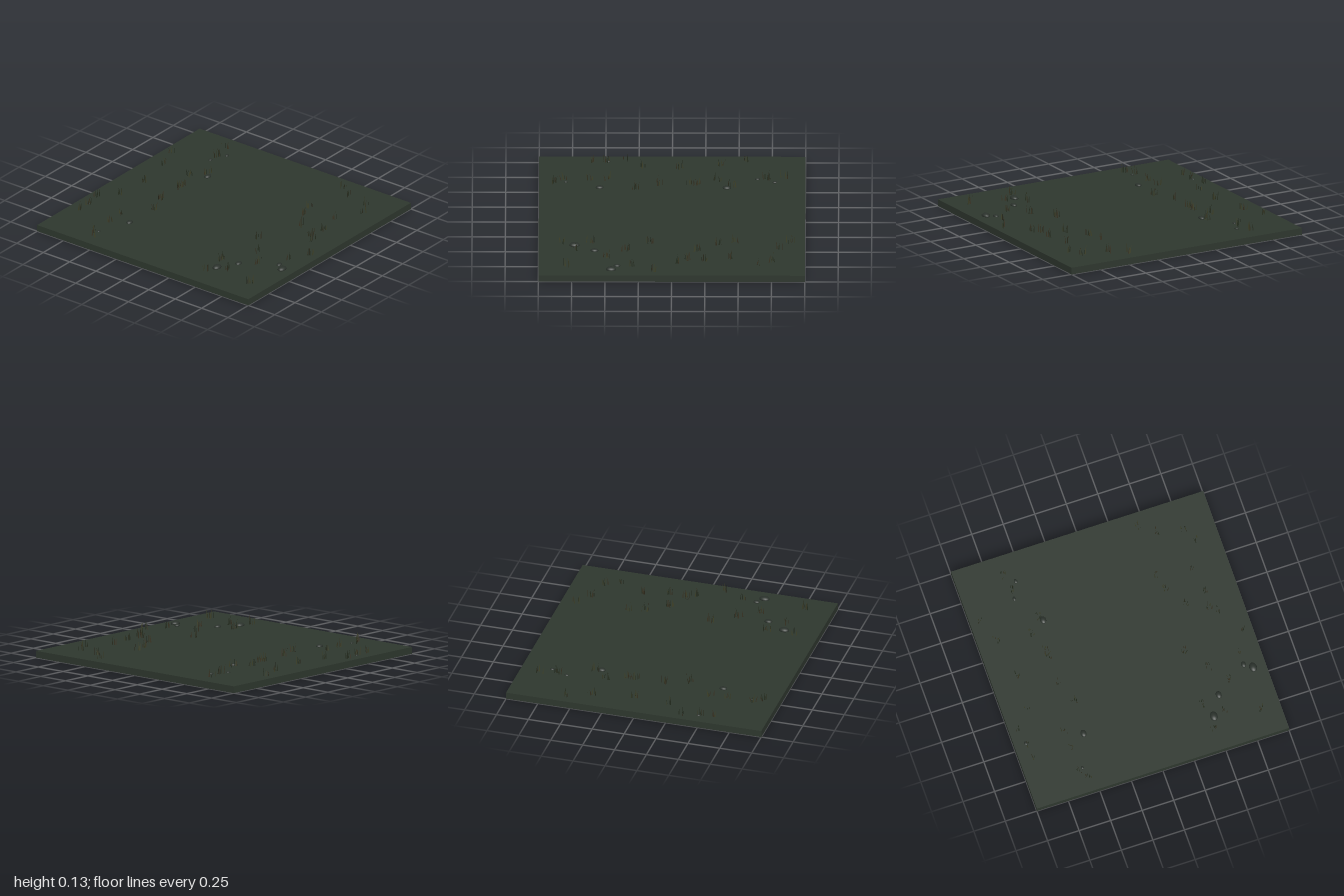
import * as THREE from 'three';
import { mergeGeometries } from 'three/addons/utils/BufferGeometryUtils.js';

const TOP = 0.052;

function mat(name, color, extra = {}) {
  return new THREE.MeshStandardMaterial({ name, color, ...extra });
}

// Seeded random numbers from 0 to 1
function seeded(seed) {
  return () => {
    seed = (seed * 1664525 + 1013904223) % 4294967296;
    return seed / 4294967296;
  };
}

// A tapering, bent grass blade standing on the origin
function blade(height, width, lean) {
  const s = new THREE.Shape();
  s.moveTo(-width / 2, 0);
  s.lineTo(width / 2, 0);
  s.lineTo(width * 0.35 + lean * 0.35, height * 0.55);
  s.lineTo(lean, height);
  s.lineTo(-width * 0.35 + lean * 0.35, height * 0.55);
  s.closePath();
  return new THREE.ShapeGeometry(s);
}

export function createModel() {
  const group = new THREE.Group();
  const ground = mat('dark moss ground', 0x2e372e);
  const stone = mat('dark stone', 0x2b322c);
  const grass = [
    mat('deep green grass', 0x262e20, { side: THREE.DoubleSide }),
    mat('olive grass', 0x3d4028, { side: THREE.DoubleSide }),
    mat('dry brown grass', 0x373222, { side: THREE.DoubleSide }),
  ];

  // Ground slab
  const slab = new THREE.Mesh(new THREE.BoxGeometry(2, TOP, 2), ground);
  slab.name = 'groundSlab';
  slab.position.y = TOP / 2;
  group.add(slab);

  // Flattened pebbles: x, z, radius
  const pebbles = [
    [-0.48, -0.91, 0.016], [-0.8, -0.57, 0.014], [-0.545, -0.475, 0.03],
    [0.41, -0.47, 0.031], [0.64, -0.62, 0.018], [0.77, -0.565, 0.018],
    [-0.73, 0.495, 0.039], [-0.58, 0.585, 0.03], [-0.41, 0.84, 0.025],
    [-0.455, 0.9, 0.039],
  ];
  const pebbleGeometry = new THREE.SphereGeometry(1, 16, 10);
  for (const [x, z, r] of pebbles) {
    const pebble = new THREE.Mesh(pebbleGeometry, stone);
    pebble.name = 'pebble';
    pebble.position.set(x, TOP + r * 0.1, z);
    pebble.scale.set(r, r * 0.5, r * 0.75);
    group.add(pebble);
  }

  // Grass tufts along the back and front bands: x, z
  const tufts = [
    [-0.35, -0.93], [0.56, -0.92], [-0.9, -0.55], [-0.81, -0.61], [-0.62, -0.59],
    [-0.5, -0.61], [-0.28, -0.46], [-0.1, -0.52], [0.12, -0.53], [0.19, -0.53],
    [0.34, -0.58], [0.37, -0.85], [0.71, -0.61], [0.84, -0.64], [0.45, -0.49],
    [-0.62, -0.9], [-0.49, -0.9], [-0.22, -0.81], [0.06, -0.79],
    [-0.79, 0.85], [-0.82, 0.46], [-0.61, 0.45], [-0.35, 0.58], [-0.16, 0.45],
    [0.06, 0.8], [0.11, 0.74], [0.19, 0.58], [0.36, 0.48], [0.48, 0.44],
    [0.25, 0.75], [0.43, 0.72], [0.64, 0.83], [0.8, 0.57], [0.89, 0.45],
    [0.76, 0.76], [-0.49, 0.7], [-0.31, 0.83], [-0.71, 0.58], [-0.14, 0.92],
  ];
  const random = seeded(17);
  const bladesByTone = grass.map(() => []);
  for (const [x, z] of tufts) {
    const count = 5 + Math.floor(random() * 4);
    for (let i = 0; i < count; i++) {
      const height = 0.035 + random() * 0.042;
      const g = blade(height, 0.007 + random() * 0.004, (random() - 0.5) * 0.03);
      g.rotateY(random() * Math.PI * 2);
      g.translate(x + (random() - 0.5) * 0.06, TOP, z + (random() - 0.5) * 0.04);
      bladesByTone[Math.floor(random() * grass.length)].push(g);
    }
  }
  bladesByTone.forEach((blades, i) => {
    const mesh = new THREE.Mesh(mergeGeometries(blades), grass[i]);
    mesh.name = 'grassBlades';
    group.add(mesh);
  });

  return group;
}
